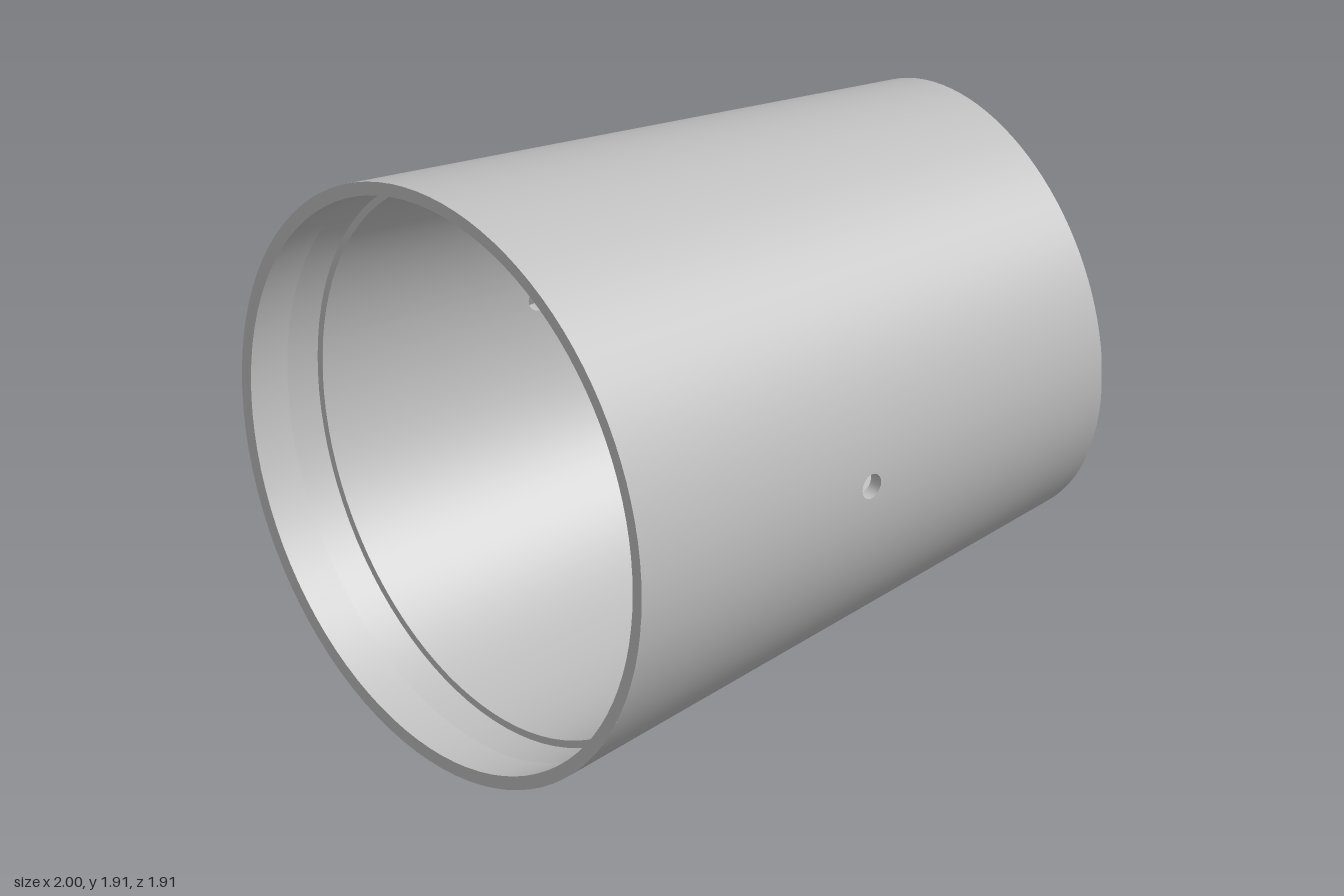
import * as THREE from 'three';

const AXIS_Y = 0.953;      // height of the sleeve axis
const GAP = 0.075;         // half angle of the strips that carry the pin holes
const HOLE_R = 0.04;
const STEP_X = -0.755;     // depth of the recess in the wide end
const SEGMENTS = 96;

const outerR = x => 0.814 - 0.139 * x;
const innerR = x => 0.767 - 0.139 * x;

// Turns a geometry inside out
function invert(geo) {
  const idx = geo.index.array;
  for (let i = 0; i < idx.length; i += 3) [idx[i], idx[i + 1]] = [idx[i + 1], idx[i]];
  const n = geo.attributes.normal;
  for (let i = 0; i < n.count; i++) n.setXYZ(i, -n.getX(i), -n.getY(i), -n.getZ(i));
  return geo;
}

// Surface of revolution about x between two (x, radius) points
function band(x0, r0, x1, r1, start = 0, length = Math.PI * 2, segments = SEGMENTS) {
  const pts = [new THREE.Vector2(r0, x0), new THREE.Vector2(r1, x1)];
  return new THREE.LatheGeometry(pts, segments, start, length).rotateZ(-Math.PI / 2);
}

// Narrow strip of the cone, pierced by the pin hole and bent onto the wall
function piercedStrip(radius, x0, x1) {
  const s = Math.sin(GAP);
  const shape = new THREE.Shape([
    new THREE.Vector2(x0, -radius(x0) * s), new THREE.Vector2(x1, -radius(x1) * s),
    new THREE.Vector2(x1, radius(x1) * s), new THREE.Vector2(x0, radius(x0) * s),
  ]);
  shape.holes.push(new THREE.Path().absarc(0, 0, HOLE_R, 0, Math.PI * 2, true));
  const geo = new THREE.ShapeGeometry(shape, 24);
  const p = geo.attributes.position, n = geo.attributes.normal;
  const v = new THREE.Vector3();
  for (let i = 0; i < p.count; i++) {
    const r = radius(p.getX(i)), y = p.getY(i);
    p.setZ(i, Math.sqrt(r * r - y * y));
    v.set(0.139, y / r, p.getZ(i) / r).normalize();
    n.setXYZ(i, v.x, v.y, v.z);
  }
  return geo;
}

// Wall of a pin hole, its ends following both cones
function pinBore() {
  const geo = new THREE.CylinderGeometry(HOLE_R, HOLE_R, 1, 24, 1, true).rotateX(Math.PI / 2);
  const p = geo.attributes.position;
  for (let i = 0; i < p.count; i++) {
    const r = (p.getZ(i) > 0 ? outerR : innerR)(p.getX(i));
    p.setZ(i, Math.sqrt(r * r - p.getY(i) ** 2));
  }
  return invert(geo);
}

export function createModel() {
  const metal = new THREE.MeshStandardMaterial({ color: 0xc0c0c0 });
  metal.name = 'light grey metal';
  const model = new THREE.Group();
  model.name = 'taperedSleeve';
  const add = (name, geo, turn = 0) => {
    const mesh = new THREE.Mesh(geo, metal);
    mesh.name = name;
    mesh.position.y = AXIS_Y;
    mesh.rotation.x = turn;
    model.add(mesh);
  };

  // Walls in two halves, with a pierced strip at front and back
  for (const [side, turn] of [['front', 0], ['back', Math.PI]]) {
    const arc = [GAP, Math.PI - 2 * GAP, SEGMENTS / 2];
    add(side + 'OuterWall', band(-1, outerR(-1), 1, outerR(1), ...arc), turn);
    add(side + 'InnerWall', band(1, innerR(1), STEP_X, innerR(STEP_X), ...arc), turn);
    add(side + 'OuterHoleStrip', piercedStrip(outerR, -1, 1), turn);
    add(side + 'InnerHoleStrip', invert(piercedStrip(innerR, STEP_X, 1)), turn);
    add(side + 'PinBore', pinBore(), turn);
  }

  // End faces and the stepped recess in the wide end
  add('narrowRim', band(1, outerR(1), 1, innerR(1)));
  add('recessShoulder', band(STEP_X, innerR(STEP_X), STEP_X, 0.895));
  add('recessTaper', band(STEP_X, 0.895, -0.86, 0.91));
  add('recessWall', band(-0.86, 0.91, -1, 0.91));
  add('wideRim', band(-1, 0.91, -1, outerR(-1)));
  return model;
}
